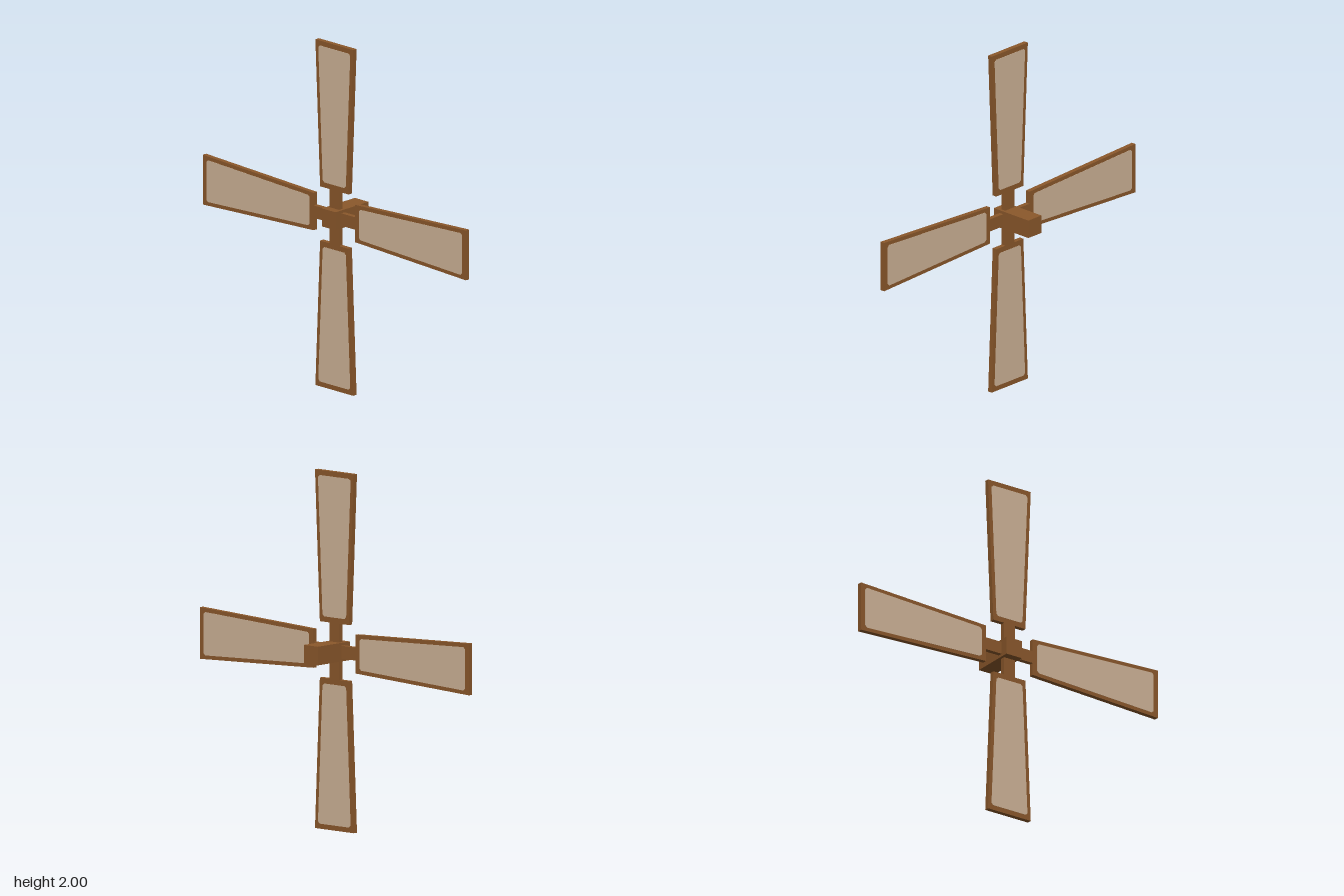
import * as THREE from 'three';

const wood = new THREE.MeshStandardMaterial({ name: 'brown wood', color: 0x8b582b });
const cloth = new THREE.MeshStandardMaterial({ name: 'pale sailcloth', color: 0xceb397 });

const BACK = 0.06, FRONT = 0.087; // z range of the sails

// Tapered outline along +y with slightly clipped corners
function taper(y0, w0, y1, w1, c = 0) {
  const pts = c === 0
    ? [[-w0, y0], [w0, y0], [w1, y1], [-w1, y1]]
    : [[-w0 + c, y0], [w0 - c, y0], [w0, y0 + c], [w1, y1 - c],
      [w1 - c, y1], [-w1 + c, y1], [-w1, y1 - c], [-w0, y0 + c]];
  return new THREE.Shape(pts.map(([x, y]) => new THREE.Vector2(x, y)));
}

function slab(name, shape, z0, z1, material) {
  const geo = new THREE.ExtrudeGeometry(shape, { depth: z1 - z0, bevelEnabled: false });
  const mesh = new THREE.Mesh(geo.translate(0, 0, z0), material);
  mesh.name = name;
  return mesh;
}

// One sail pointing up from the hub centre
function makeSail(name) {
  const sail = new THREE.Group();
  sail.name = name;
  const panel = taper(0.187, 0.088, 0.972, 0.121, 0.012);
  const skin = 0.001;
  sail.add(
    slab('arm', taper(0.04, 0.036, 0.158, 0.036), BACK, FRONT, wood),
    slab('blade', taper(0.157, 0.108, 1, 0.144), BACK, FRONT, wood),
    slab('frontCloth', panel, FRONT, FRONT + skin, cloth),
    slab('backCloth', panel, BACK - skin, BACK, cloth)
  );
  return sail;
}

export function createModel() {
  const model = new THREE.Group();
  model.name = 'windmillSails';

  // Square axle block
  const hub = new THREE.Mesh(new THREE.BoxGeometry(0.104, 0.104, 0.264), wood);
  hub.name = 'hub';
  hub.position.y = 1;
  model.add(hub);

  // Four sails, a quarter turn apart
  ['topSail', 'rightSail', 'bottomSail', 'leftSail'].forEach((name, i) => {
    const sail = makeSail(name);
    sail.position.y = 1;
    sail.rotation.z = i * Math.PI / 2;
    model.add(sail);
  });
  return model;
}
